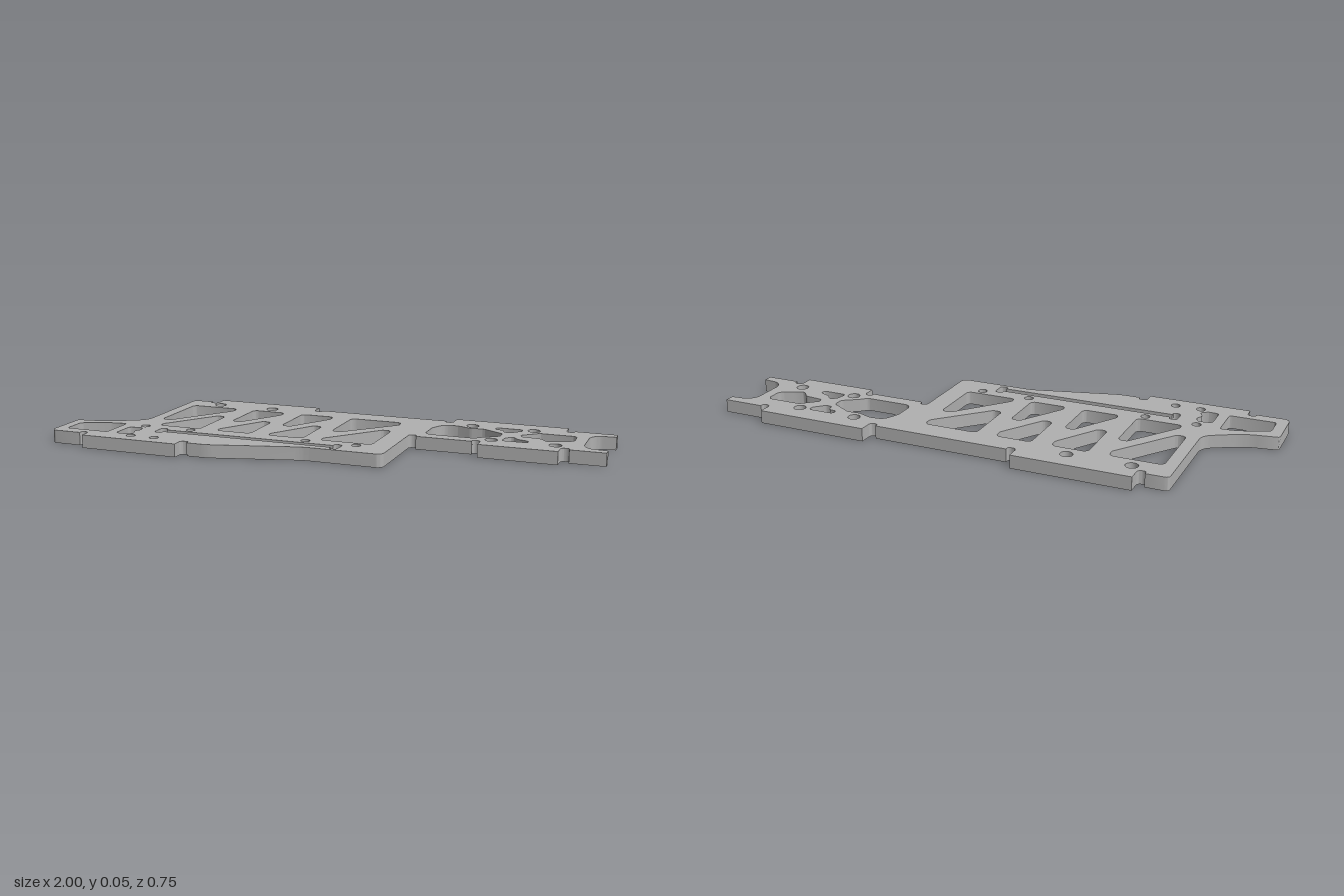
import * as THREE from 'three';
import { toCreasedNormals } from 'three/addons/utils/BufferGeometryUtils.js';

const THICKNESS = 0.049;

// Trace a closed polygon of [x, z, cornerRadius] with circular corners
function trace(path, pts) {
  const n = pts.length;
  pts.forEach(([x, z, r = 0], i) => {
    const p = new THREE.Vector2(x, z);
    const toPrev = new THREE.Vector2(...pts[(i + n - 1) % n].slice(0, 2)).sub(p);
    const toNext = new THREE.Vector2(...pts[(i + 1) % n].slice(0, 2)).sub(p);
    const limit = 0.49 * Math.min(toPrev.length(), toNext.length());
    toPrev.normalize();
    toNext.normalize();
    const inner = Math.acos(THREE.MathUtils.clamp(toPrev.dot(toNext), -1, 1));
    const t = Math.min(r / Math.tan(inner / 2), limit);
    const radius = t * Math.tan(inner / 2);
    const handle = t - (4 / 3) * Math.tan((Math.PI - inner) / 4) * radius;
    const at = (dir, d) => p.clone().addScaledVector(dir, d);
    const a = at(toPrev, t), b = at(toNext, t);
    if (i === 0) path.moveTo(a.x, a.y);
    else path.lineTo(a.x, a.y);
    if (r > 0) {
      const c = at(toPrev, handle), d = at(toNext, handle);
      path.bezierCurveTo(c.x, c.y, d.x, d.y, b.x, b.y);
    }
  });
  path.closePath();
  return path;
}

const hole = pts => trace(new THREE.Path(), pts);

function roundHole(x, z, r) {
  const path = new THREE.Path();
  path.absarc(x, z, r, 0, Math.PI * 2);
  return path;
}

// Relief notch beside a tab, running from the edge up to the tab
function notch(xEdge, xTab, zEdge, zTab) {
  const dip = zEdge - Math.sign(zTab - zEdge) * 0.018;
  return [[xEdge, zEdge], [xEdge, dip, 0.015], [xTab, dip, 0.015], [xTab, zTab]];
}

// Slanted window: flat end at z0, short side at zs, long side reaching z1
function slantWindow(xLong, xShort, z0, zs, z1) {
  const s = Math.sign(xShort - xLong);
  return hole([
    [xLong, z0, 0.02], [xShort, z0, 0.02], [xShort, zs, 0.02],
    [xLong + s * 0.035, z1, 0.018], [xLong, z1, 0.018],
  ]);
}

export function createModel() {
  const group = new THREE.Group();
  const grey = new THREE.MeshStandardMaterial({ color: 0xb0b0b0 });
  grey.name = 'plate grey';

  // Outer contour with tabs, notches and the end bite
  const shape = trace(new THREE.Shape(), [
    [-0.746, -0.334, 0.015],
    ...notch(-0.664, -0.634, -0.334, -0.377),
    ...notch(-0.168, -0.2, -0.334, -0.377).reverse(),
    ...notch(0.347, 0.377, -0.334, -0.377),
    ...notch(0.842, 0.812, -0.334, -0.377).reverse(),
    [1, -0.334], [1, -0.297], [0.909, -0.288, 0.085],
    [0.909, -0.092, 0.085], [1, -0.083], [1, -0.048],
    ...notch(0.87, 0.838, -0.048, -0.01),
    ...notch(0.52, 0.55, -0.048, -0.01).reverse(),
    [0.31, -0.048], [0.31, -0.066, 0.015], [0.28, -0.066, 0.015],
    [0.28, 0.25, 0.025], [-0.015, 0.25, 0.2], [-0.35, 0.342, 0.2],
    ...notch(-0.428, -0.46, 0.342, 0.373),
    ...notch(-0.875, -0.845, 0.342, 0.373).reverse(),
    [-1, 0.342, 0.025], [-1, 0.158, 0.01],
    [-0.88, 0.138, 0.25], [-0.746, 0.06, 0.06],
  ]);

  // Truss windows
  shape.holes.push(
    slantWindow(-0.7, -0.505, -0.24, -0.2, 0.03),
    slantWindow(-0.487, -0.655, 0.127, 0.1, -0.095),
    slantWindow(-0.01, 0.196, -0.24, -0.2, -0.018),
    slantWindow(0.2, 0.003, 0.127, 0.1, -0.098),
  );
  for (const dx of [0, 0.21]) {
    shape.holes.push(
      slantWindow(-0.43 + dx, -0.295 + dx, -0.24, -0.2, -0.035),
      slantWindow(-0.278 + dx, -0.415 + dx, 0.127, 0.1, -0.07),
    );
  }

  // Long slot with widened ends
  shape.holes.push(hole([
    [-0.622, 0.172, 0.012], [-0.592, 0.172, 0.012], [-0.592, 0.19], [0.077, 0.19],
    [0.077, 0.172, 0.012], [0.107, 0.172, 0.012], [0.107, 0.234, 0.012], [0.077, 0.234, 0.012],
    [0.077, 0.217], [-0.592, 0.217], [-0.592, 0.234, 0.012], [-0.622, 0.234, 0.012],
  ]));

  // Windows in the left foot
  shape.holes.push(
    hole([[-0.96, 0.293, 0.01], [-0.787, 0.293, 0.01], [-0.787, 0.15, 0.01],
      [-0.85, 0.16, 0.08], [-0.96, 0.203, 0.02]]),
    hole([[-0.748, 0.198, 0.015], [-0.695, 0.19, 0.015], [-0.683, 0.22, 0.02],
      [-0.7, 0.245, 0.02], [-0.68, 0.28, 0.015], [-0.71, 0.297, 0.02], [-0.748, 0.294, 0.012]]),
  );

  // Windows in the right arm
  shape.holes.push(
    hole([[0.327, -0.2, 0.06], [0.355, -0.262, 0.04], [0.41, -0.267, 0.04], [0.465, -0.246, 0.04],
      [0.515, -0.25, 0.03], [0.598, -0.202, 0.02], [0.598, -0.162, 0.02],
      [0.54, -0.122, 0.03], [0.515, -0.098, 0.02], [0.327, -0.098, 0.03]]),
    hole([[0.555, -0.29, 0.012], [0.657, -0.29, 0.012], [0.657, -0.268, 0.01],
      [0.622, -0.23, 0.01], [0.594, -0.23, 0.012], [0.59, -0.26, 0.015], [0.555, -0.265, 0.01]]),
    hole([[0.665, -0.2, 0.012], [0.725, -0.255, 0.015], [0.865, -0.255, 0.02], [0.866, -0.18, 0.03],
      [0.82, -0.16, 0.03], [0.775, -0.138, 0.02], [0.745, -0.175, 0.02], [0.675, -0.182, 0.01]]),
    hole([[0.617, -0.098, 0.01], [0.622, -0.138, 0.015], [0.645, -0.166, 0.012],
      [0.67, -0.135, 0.02], [0.712, -0.12, 0.012], [0.712, -0.098, 0.01]]),
  );

  // Bolt holes: large, then small
  for (const [x, z] of [[-0.604, -0.289], [-0.372, -0.289], [0.463, -0.289],
    [0.698, -0.289], [0.58, -0.096], [0.813, -0.096]]) {
    shape.holes.push(roundHole(x, z, 0.023));
  }
  for (const [x, z] of [[-0.7, 0.158], [-0.508, 0.158], [-0.043, 0.158],
    [0.152, 0.158], [-0.674, 0.313], [-0.577, 0.313]]) {
    shape.holes.push(roundHole(x, z, 0.017));
  }

  // Flat plate, laid down on the ground plane
  const extruded = new THREE.ExtrudeGeometry(shape, {
    depth: THICKNESS, bevelEnabled: false, curveSegments: 10,
  });
  extruded.rotateX(Math.PI / 2).translate(0, THICKNESS, 0);
  const plate = new THREE.Mesh(toCreasedNormals(extruded, Math.PI / 6), grey);
  plate.name = 'sidePlate';
  group.add(plate);
  return group;
}
